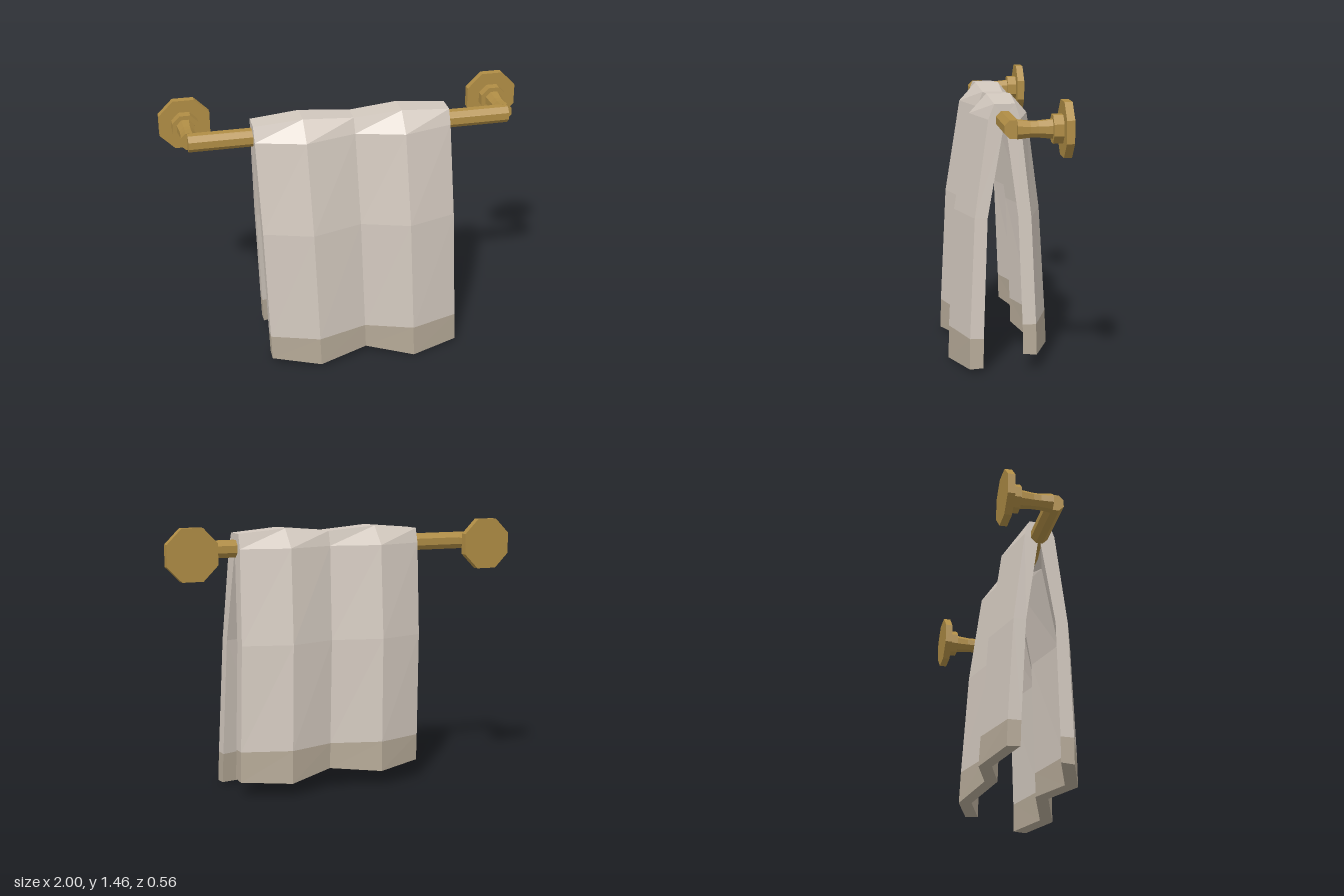
import * as THREE from 'three';

const mat = (color) => new THREE.MeshStandardMaterial({ color, flatShading: true });

const BAR_Y = 1.328;
const OCT = 1 / Math.cos(Math.PI / 8); // flat-to-flat half width -> corner radius

// Octagonal turned part along z; profile entries are [half width, z]
function turned(name, profile, material) {
  const pts = profile.map(([r, z]) => new THREE.Vector2(r * OCT, z));
  const geo = new THREE.LatheGeometry(pts, 8, Math.PI / 8);
  geo.rotateX(Math.PI / 2);
  const mesh = new THREE.Mesh(geo, material);
  mesh.name = name;
  return mesh;
}

function wallMount(x, material) {
  const g = new THREE.Group();
  g.name = x > 0 ? 'leftMount' : 'rightMount';
  g.add(turned('wallPlate', [[0, -0.28], [0.137, -0.28], [0.137, -0.24], [0, -0.24]], material));
  g.add(turned('collar', [[0, -0.24], [0.07, -0.24], [0.07, -0.19], [0, -0.19]], material));
  g.add(turned('post', [[0, -0.19], [0.047, -0.19], [0.04, -0.12], [0.04, -0.08], [0.047, -0.015], [0, -0.015]], material));
  g.position.set(x, BAR_Y, 0);
  return g;
}

// Towel path from the front hem, over the bar, to the back hem:
// [y, outer z, extra z on folds, inner y, inner z, sideways drift]
const PATH = [
  [0.03, 0.187, 0.09, 0.035, 0.115, 0.043],
  [0.18, 0.185, 0.088, 0.18, 0.113, 0.038],
  [0.82, 0.157, 0.083, 0.82, 0.09, 0.018],
  [1.33, 0.085, 0.072, 1.28, 0.008, 0.002],
  [1.41, 0.054, 0.011, 1.35, 0.004, 0],
  [1.41, -0.054, -0.008, 1.35, -0.004, 0],
  [1.33, -0.08, -0.07, 1.28, -0.008, 0.002],
  [0.82, -0.138, -0.078, 0.82, -0.07, 0.018],
  [0.25, -0.163, -0.086, 0.25, -0.092, 0.038],
  [0.1, -0.167, -0.09, 0.105, -0.095, 0.043],
];
const COLS = [-0.535, -0.272, 0.004, 0.264, 0.53];
const HEM = [0.005, -0.015, 0.01, -0.029, -0.015]; // uneven hem heights

function towelPoint(c, k, inner) {
  const [y, z, fold, yi, zi, drift] = PATH[k];
  const ridge = c % 2;
  const end = k === 0 || k === PATH.length - 1;
  const top = k === 4 || k === 5;
  const dy = end ? HEM[c] : top ? ridge * 0.022 : 0;
  return [COLS[c] + drift, (inner ? yi : y) + dy, (inner ? zi : z) + ridge * fold];
}

// Thick folded sheet between path rows from..to
function towelPart(name, from, to, material) {
  const pos = [];
  const quad = (a, b, c, d) => pos.push(...a, ...b, ...c, ...a, ...c, ...d);
  const O = (c, k) => towelPoint(c, k, false);
  const I = (c, k) => towelPoint(c, k, true);
  const last = COLS.length - 1;
  for (let k = from; k < to; k++) {
    for (let c = 0; c < last; c++) {
      quad(O(c, k), O(c + 1, k), O(c + 1, k + 1), O(c, k + 1));
      quad(I(c, k), I(c, k + 1), I(c + 1, k + 1), I(c + 1, k));
    }
    // side edges
    quad(O(last, k), I(last, k), I(last, k + 1), O(last, k + 1));
    quad(O(0, k), O(0, k + 1), I(0, k + 1), I(0, k));
  }
  // hem undersides
  const end = PATH.length - 1;
  for (let c = 0; c < last; c++) {
    if (from === 0) quad(O(c, 0), I(c, 0), I(c + 1, 0), O(c + 1, 0));
    if (to === end) quad(O(c, end), O(c + 1, end), I(c + 1, end), I(c, end));
  }
  const geo = new THREE.BufferGeometry();
  geo.setAttribute('position', new THREE.Float32BufferAttribute(pos, 3));
  geo.computeVertexNormals();
  const mesh = new THREE.Mesh(geo, material);
  mesh.name = name;
  return mesh;
}

export function createModel() {
  const model = new THREE.Group();
  model.name = 'towelRail';
  const brass = mat(0xb08d45);
  const cloth = mat(0xd2c8be);
  const band = mat(0xb5a997);

  // Rail
  const barGeo = new THREE.CylinderGeometry(0.046 * OCT, 0.046 * OCT, 1.75, 8, 1, false, Math.PI / 8);
  barGeo.rotateZ(Math.PI / 2);
  const bar = new THREE.Mesh(barGeo, brass);
  bar.name = 'bar';
  bar.position.y = BAR_Y;
  model.add(bar);

  // Wall mounts
  for (const s of [-1, 1]) model.add(wallMount(s * 0.863, brass));

  // Towel with a darker band at each hem
  const towel = new THREE.Group();
  towel.name = 'towel';
  towel.add(
    towelPart('frontBand', 0, 1, band),
    towelPart('towelBody', 1, 8, cloth),
    towelPart('backBand', 8, 9, band),
  );
  model.add(towel);
  return model;
}
